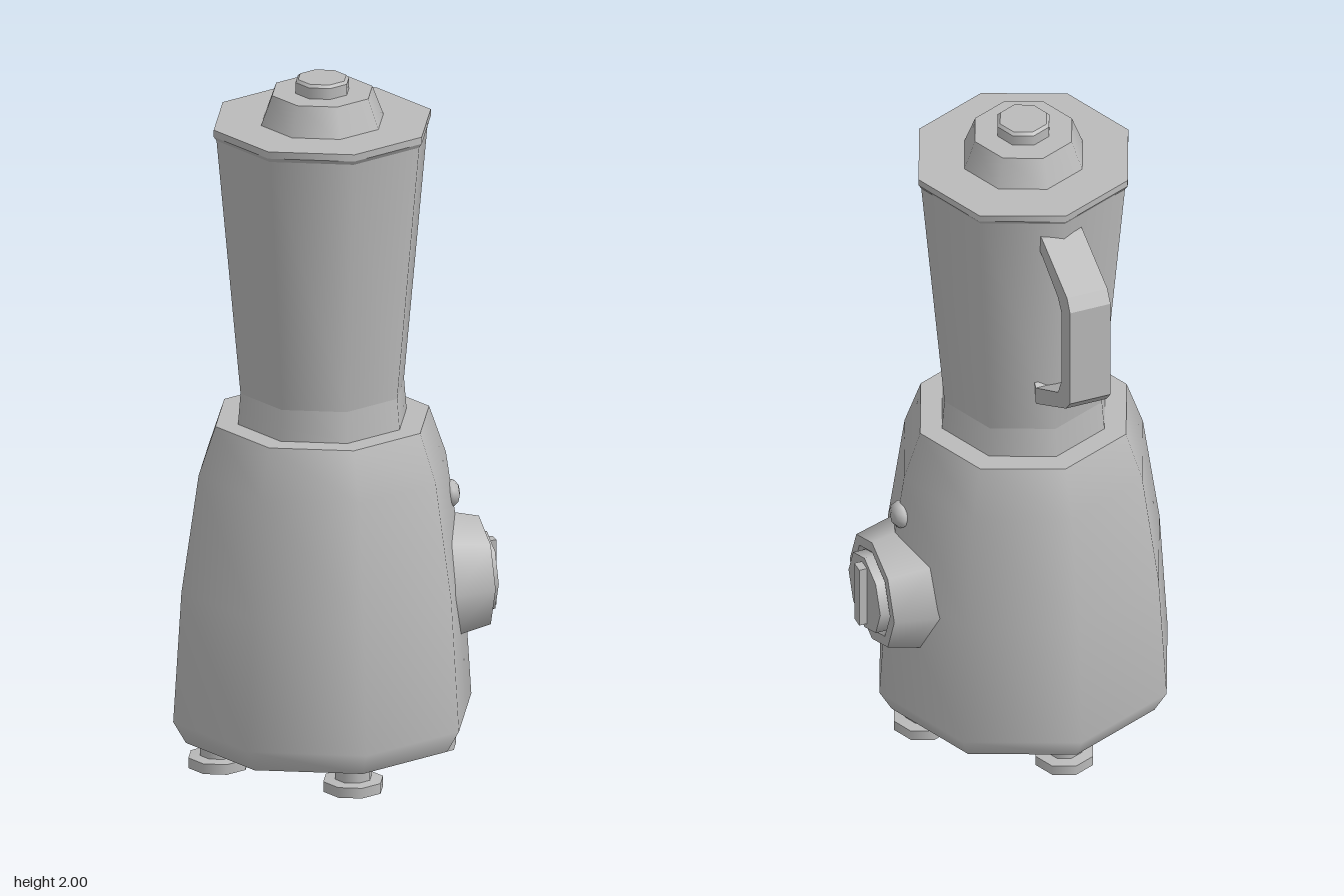
import * as THREE from 'three';

const AX = -0.036, AZ = 0.033; // axis of the body

const grey = new THREE.MeshStandardMaterial({ color: 0xbbbbbb });
grey.name = 'plain grey';

// Eight-sided turned part; repeated points in a profile make a sharp edge
function turned(name, profile) {
  const points = profile.map(([r, y]) => new THREE.Vector2(r, y));
  const mesh = new THREE.Mesh(new THREE.LatheGeometry(points, 8), grey);
  mesh.name = name;
  return mesh;
}

// Doubles every inner point so all rims are crisp
const sharp = (profile) => profile.flatMap((p, i) => (i === 0 || i === profile.length - 1 ? [p] : [p, p]));

export function createModel() {
  const model = new THREE.Group();
  model.name = 'blender';

  const body = new THREE.Group();
  body.name = 'body';
  body.position.set(AX, 0, AZ);
  model.add(body);

  // Motor housing
  body.add(turned('motorBase', [
    [0, 0.075], [0.397, 0.075], [0.397, 0.075], [0.434, 0.14], [0.41, 0.52],
    [0.36, 0.86], [0.311, 1], [0.311, 1], [0, 1],
  ]));

  // Jar with its collar
  body.add(turned('jar', sharp([[0.246, 0.995], [0.238, 1.09], [0.308, 1.845]])));

  // Lid, raised cap and top button
  body.add(turned('lid', sharp([[0, 1.84], [0.306, 1.84], [0.316, 1.855], [0.316, 1.875], [0, 1.875]])));
  body.add(turned('lidCap', sharp([[0.18, 1.87], [0.146, 1.96], [0, 1.96]])));
  body.add(turned('lidButton', sharp([[0.078, 1.955], [0.078, 1.992], [0.07, 2], [0, 2]])));

  // Four feet, each a pad on a short stem
  for (let i = 0; i < 4; i++) {
    const a = (i * Math.PI) / 2;
    const foot = turned('foot', sharp([
      [0, 0], [0.087, 0], [0.087, 0.03], [0.053, 0.034], [0.053, 0.085],
    ]));
    foot.position.set(Math.cos(a) * 0.303, 0, Math.sin(a) * 0.303);
    body.add(foot);
  }

  // Jar handle: side outline extruded across x
  const outline = [
    [0.225, 1.8], [0.257, 1.793], [0.44, 1.714], [0.463, 1.677], [0.463, 1.365],
    [0.431, 1.328], [0.209, 1.196], [0.2, 1.262], [0.209, 1.25], [0.373, 1.345],
    [0.4, 1.402], [0.4, 1.635], [0.373, 1.672], [0.257, 1.735], [0.225, 1.748],
  ];
  const shape = new THREE.Shape(outline.map(([d, y]) => new THREE.Vector2(d, y)));
  const handleGeometry = new THREE.ExtrudeGeometry(shape, { depth: 0.122, bevelEnabled: false });
  handleGeometry.rotateY(Math.PI / 2);
  const handle = new THREE.Mesh(handleGeometry, grey);
  handle.name = 'jarHandle';
  handle.position.set(AX - 0.061, 0, 0);
  model.add(handle);

  // Control knob on the left side
  const control = new THREE.Group();
  control.name = 'control';
  control.position.set(0, 0.497, AZ);
  control.rotation.z = -Math.PI / 2;
  control.add(turned('knobHousing', sharp([
    [0.195, 0.295], [0.165, 0.42], [0.133, 0.42], [0.122, 0.405], [0, 0.405],
  ])));
  control.add(turned('dial', sharp([[0.118, 0.4], [0.118, 0.443], [0, 0.443]])));
  const grip = new THREE.Mesh(new THREE.BoxGeometry(0.19, 0.04, 0.037), grey);
  grip.name = 'dialGrip';
  grip.position.y = 0.446;
  control.add(grip);
  model.add(control);

  // Indicator lamp above the knob
  const lamp = new THREE.Mesh(new THREE.SphereGeometry(0.04, 8, 6), grey);
  lamp.name = 'indicatorLamp';
  lamp.scale.x = 0.75;
  lamp.position.set(0.335, 0.738, AZ);
  model.add(lamp);

  return model;
}
